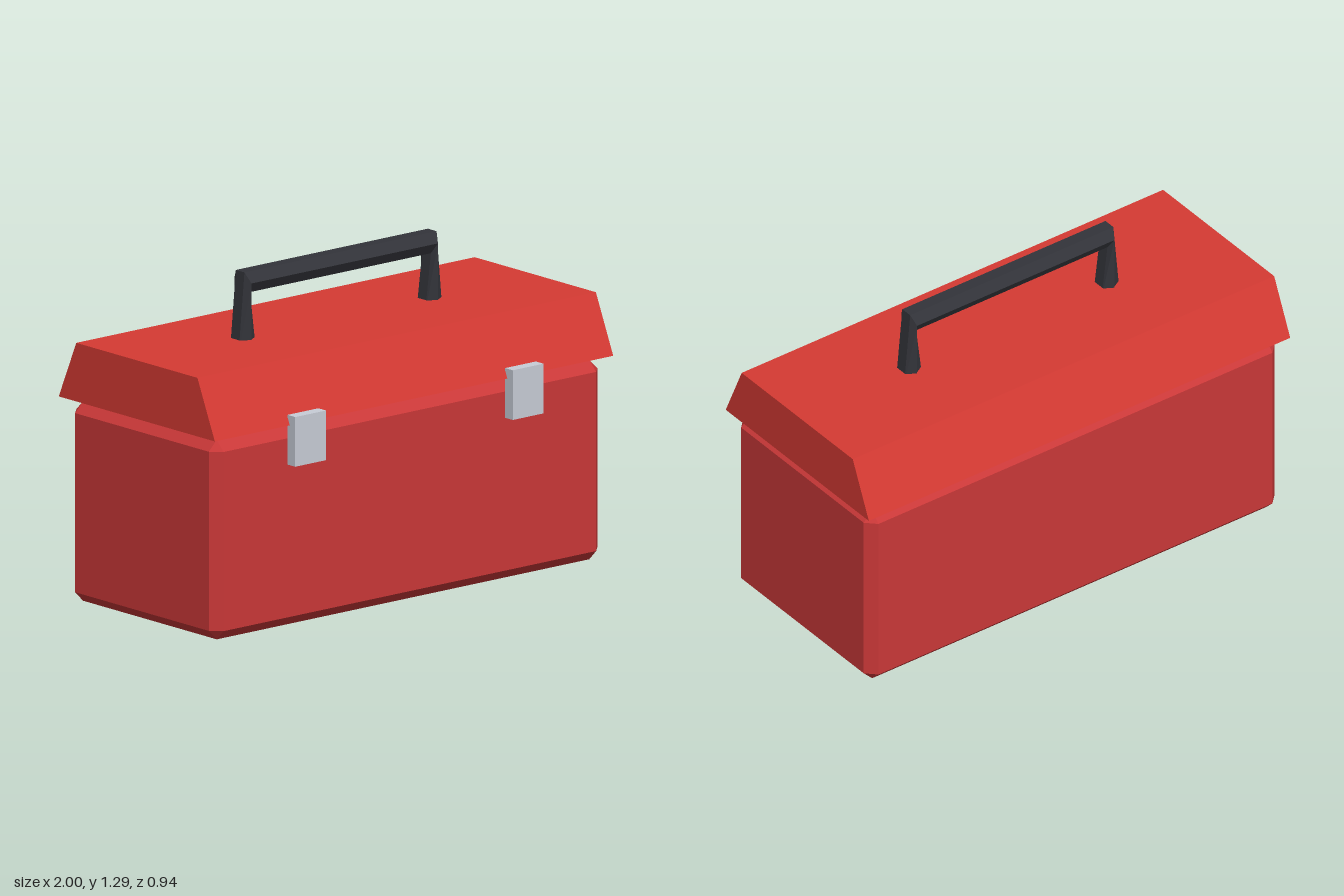
import * as THREE from 'three';
import { ConvexGeometry } from 'three/addons/geometries/ConvexGeometry.js';

const material = (color) => new THREE.MeshStandardMaterial({ color, flatShading: true });

function addMesh(parent, name, geometry, mat) {
  const mesh = new THREE.Mesh(geometry, mat);
  mesh.name = name;
  parent.add(mesh);
  return mesh;
}

// Box with every edge cut by a flat chamfer
function chamferedBox(w, h, d, c) {
  const points = [];
  for (const x of [-w / 2, w / 2]) for (const y of [-h / 2, h / 2]) for (const z of [-d / 2, d / 2]) {
    const cx = x - Math.sign(x) * c, cy = y - Math.sign(y) * c, cz = z - Math.sign(z) * c;
    points.push(new THREE.Vector3(x, cy, cz), new THREE.Vector3(cx, y, cz), new THREE.Vector3(cx, cy, z));
  }
  return new ConvexGeometry(points);
}

// Six-sided bar swept through rings given as [x, y, tilt]; tilt is the ring's direction in the xy plane
function hexSweep(rings, radius) {
  const positions = [], indices = [], sides = 6;
  for (const [x, y, tilt] of rings) {
    for (let k = 0; k < sides; k++) {
      const a = (k / sides) * Math.PI * 2, out = radius * Math.sin(a);
      positions.push(x + out * Math.cos(tilt), y + out * Math.sin(tilt), radius * Math.cos(a));
    }
  }
  for (let r = 0; r < rings.length - 1; r++) {
    for (let k = 0; k < sides; k++) {
      const a = r * sides + k, b = r * sides + (k + 1) % sides;
      indices.push(a, a + sides, b, b, a + sides, b + sides);
    }
  }
  // End caps
  const last = (rings.length - 1) * sides;
  for (let k = 1; k < sides - 1; k++) {
    indices.push(0, k, k + 1, last, last + k + 1, last + k);
  }
  const geometry = new THREE.BufferGeometry();
  geometry.setAttribute('position', new THREE.Float32BufferAttribute(positions, 3));
  geometry.setIndex(indices);
  geometry.computeVertexNormals();
  return geometry;
}

export function createModel() {
  const model = new THREE.Group();
  model.name = 'toolbox';
  const bodyRed = material(0xca3838);
  const lidRed = material(0xd63a33);
  const black = material(0x33343a);
  const steel = material(0xc8cdd7);
  const centreZ = -0.015;

  // Chamfered body
  const body = addMesh(model, 'body', chamferedBox(1.95, 0.783, 0.858, 0.04), bodyRed);
  body.position.set(0, 0.3915, centreZ);

  // Lid: trapezoid section running the full length
  const section = new THREE.Shape([
    new THREE.Vector2(-0.47, 0.8), new THREE.Vector2(0.438, 0.8),
    new THREE.Vector2(0.337, 1.03), new THREE.Vector2(-0.368, 1.03),
  ]);
  const lidGeometry = new THREE.ExtrudeGeometry(section, { depth: 2, bevelEnabled: false });
  lidGeometry.translate(0, 0, -1).rotateY(-Math.PI / 2);
  addMesh(model, 'lid', lidGeometry, lidRed);

  // Carrying handle: two posts pinched at the corners, joined by a grip
  const corner = THREE.MathUtils.degToRad(71);
  const handle = addMesh(model, 'handle', hexSweep([
    [-0.468, 0.98, Math.PI],
    [-0.468, 1.252, Math.PI - corner],
    [0.468, 1.252, corner],
    [0.468, 0.98, 0],
  ], 0.05), black);
  handle.position.z = centreZ;

  // Front latches
  for (const side of [-1, 1]) {
    const latch = addMesh(model, side > 0 ? 'leftLatch' : 'rightLatch',
      new THREE.BoxGeometry(0.155, 0.195, 0.045), steel);
    latch.position.set(side * 0.546, 0.741, 0.447);
  }
  return model;
}
